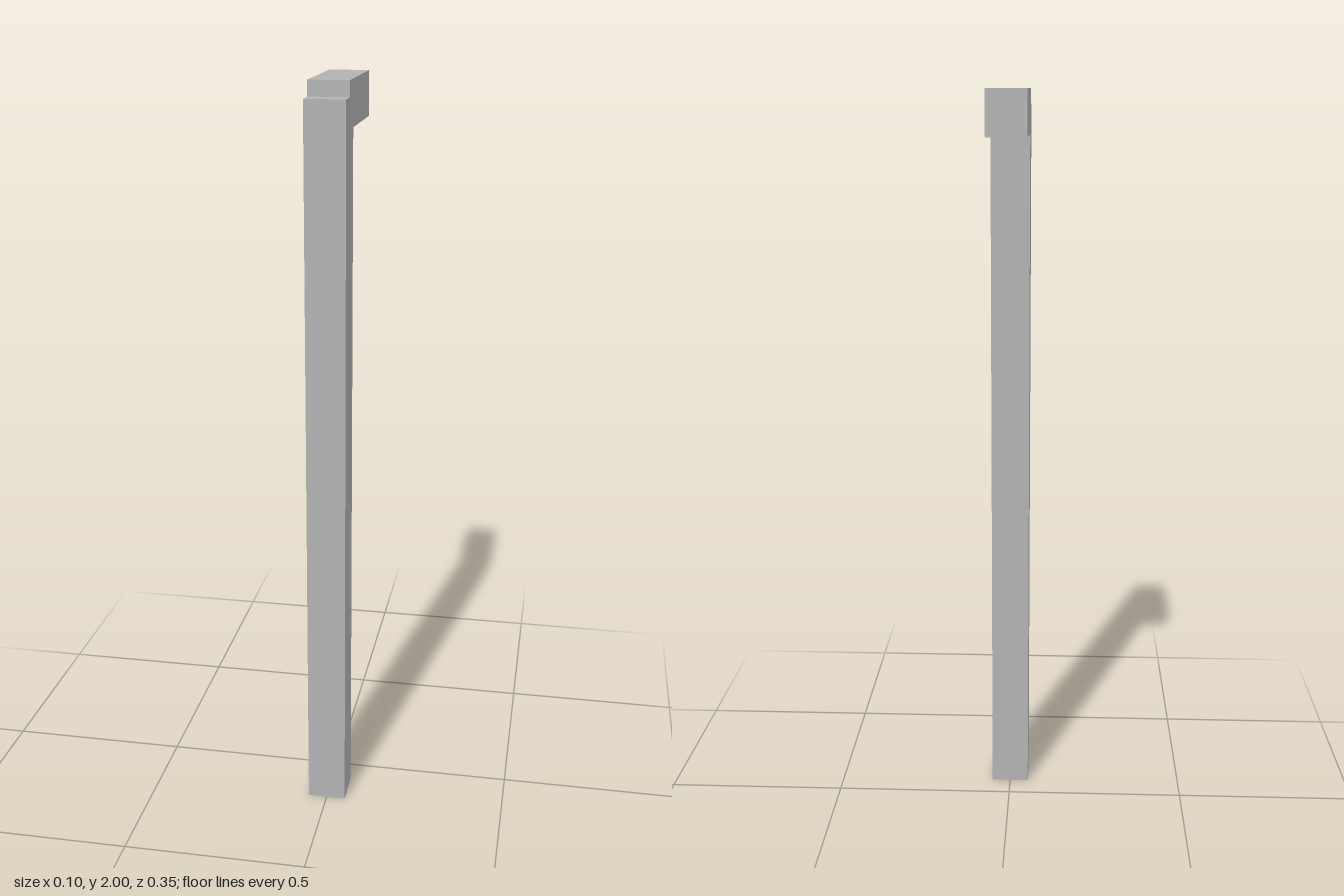
import * as THREE from 'three';

export function createModel() {
  const group = new THREE.Group();
  group.name = 'bracketPost';

  const grey = new THREE.MeshStandardMaterial({ color: 0xb3b3b3 });
  grey.name = 'grey';

  const width = 0.105;

  // Side outline as (z, y): upright post with a notched arm reaching back
  const outline = new THREE.Shape([
    [0.071, 0], [0.176, 0], [0.176, 1.96], [0.123, 1.96],
    [0.123, 2], [-0.177, 2], [-0.177, 1.883], [0.071, 1.883],
  ].map(([z, y]) => new THREE.Vector2(z, y)));

  // Extrude across the width, then turn the outline into the z-y plane
  const geometry = new THREE.ExtrudeGeometry(outline, { depth: width, bevelEnabled: false });
  geometry.translate(0, 0, -width / 2);
  geometry.rotateY(-Math.PI / 2);

  const post = new THREE.Mesh(geometry, grey);
  post.name = 'postWithArm';
  group.add(post);
  return group;
}
